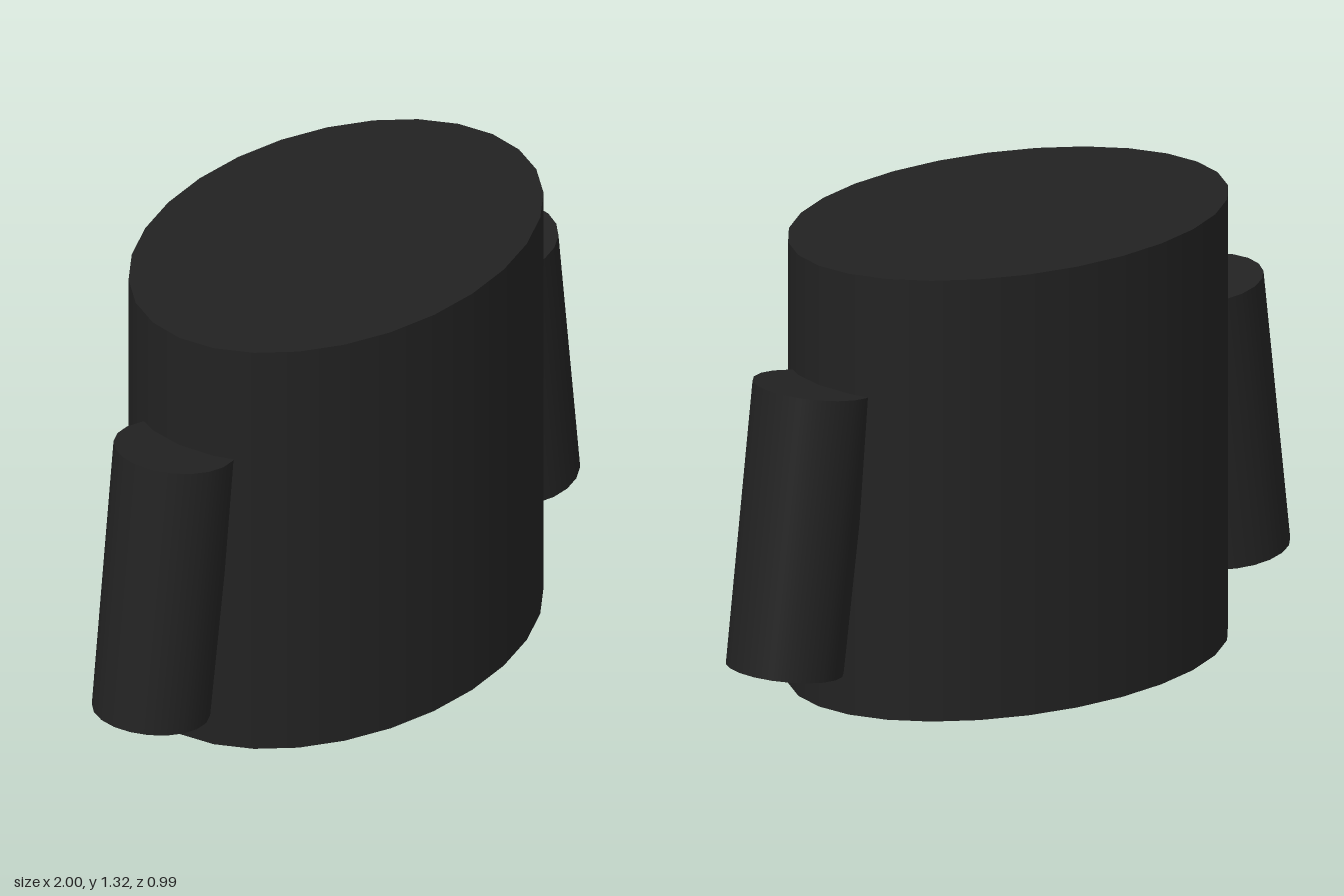
import * as THREE from 'three';

export function createModel() {
  const model = new THREE.Group();
  const charcoal = new THREE.MeshStandardMaterial({ color: 0x222222 });
  charcoal.name = 'charcoal';

  // Oval torso, standing on the ground
  const height = 1.315;
  const torsoGeometry = new THREE.CylinderGeometry(1, 1, height, 28);
  torsoGeometry.scale(0.705, 1, 0.495);
  const torso = new THREE.Mesh(torsoGeometry, charcoal);
  torso.name = 'torso';
  torso.position.y = height / 2;
  model.add(torso);

  // Slightly tapered sleeves, leaning outward at the bottom
  const sleeveGeometry = new THREE.CylinderGeometry(0.175, 0.168, 0.827, 20);
  for (const side of [1, -1]) {
    const sleeve = new THREE.Mesh(sleeveGeometry, charcoal);
    sleeve.name = side > 0 ? 'leftSleeve' : 'rightSleeve';
    sleeve.position.set(side * 0.778, 0.552, 0);
    sleeve.rotation.z = side * 0.132;
    model.add(sleeve);
  }

  return model;
}
